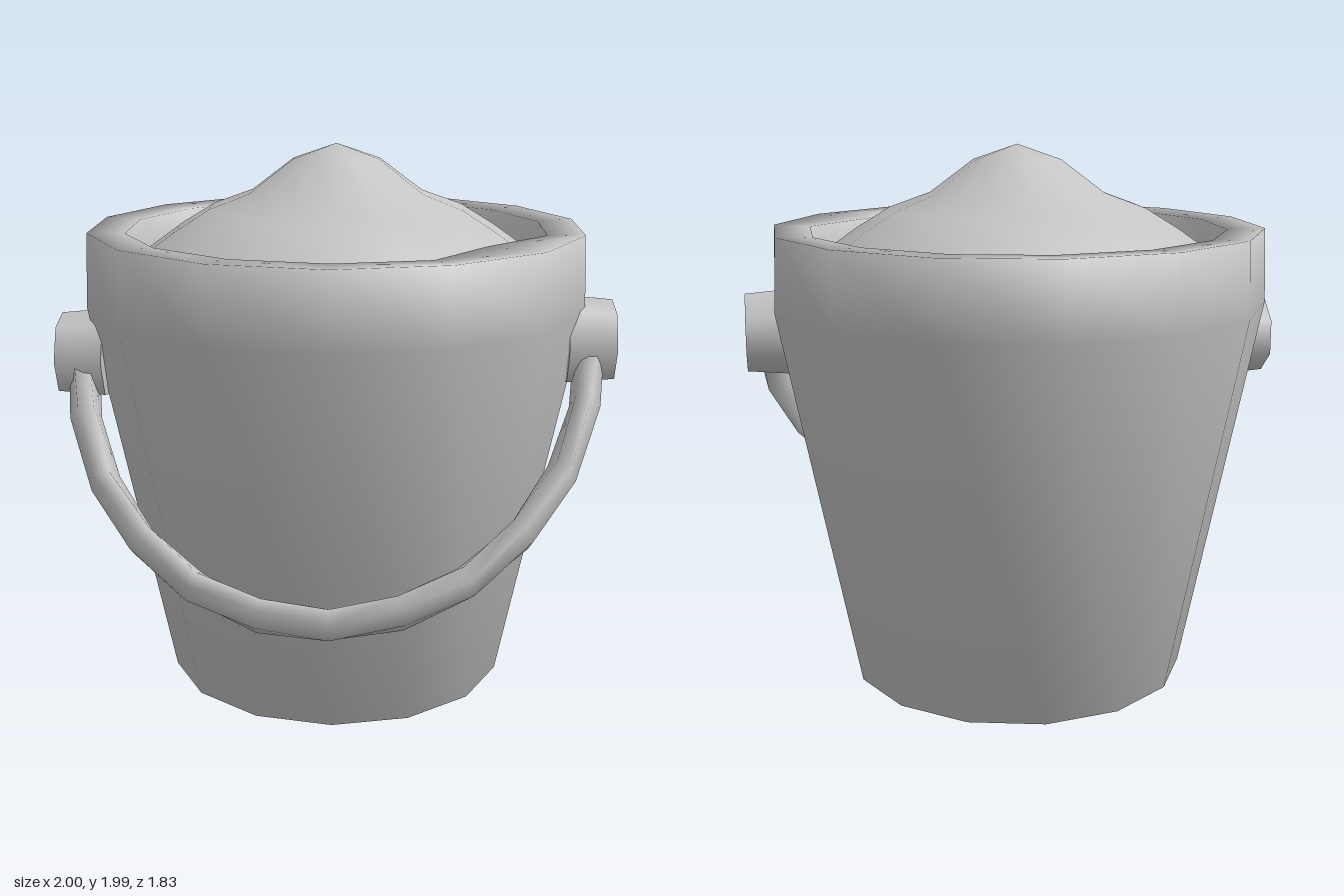
import * as THREE from 'three';
import { mergeVertices } from 'three/addons/utils/BufferGeometryUtils.js';

const SIDES = 14;

// Revolve a profile of [radius, height] pairs, weld it and smooth it.
function turned(profile, adjust) {
  const points = profile.map(([r, y]) => new THREE.Vector2(r, y));
  let geometry = new THREE.LatheGeometry(points, SIDES);
  geometry.deleteAttribute('uv');
  geometry.deleteAttribute('normal');
  if (adjust) {
    const p = geometry.attributes.position;
    const v = new THREE.Vector3();
    for (let i = 0; i < p.count; i++) {
      v.fromBufferAttribute(p, i);
      adjust(v);
      p.setXYZ(i, v.x, v.y, v.z);
    }
  }
  geometry = mergeVertices(geometry, 1e-4);
  geometry.computeVertexNormals();
  return geometry;
}

// Half-oval bail sweeping forward and down between the two pivots.
function handleGeometry() {
  const stations = 12, ring = 6;
  const down = new THREE.Vector3(0, -0.77, 0.64);
  const normal = new THREE.Vector3(0, 0.64, 0.77);
  const positions = [], index = [];
  for (let i = 0; i <= stations; i++) {
    const a = (i / stations) * Math.PI;
    const radial = new THREE.Vector3(Math.cos(a), 0, 0).addScaledVector(down, Math.sin(a));
    const centre = new THREE.Vector3(0.92 * Math.cos(a), 1.29 + 0.03 * Math.cos(a), 0.15)
      .addScaledVector(down, 1.05 * Math.sin(a));
    for (let j = 0; j < ring; j++) {
      const b = (j / ring) * Math.PI * 2 + (i % 2) * 0.3;
      const v = centre.clone()
        .addScaledVector(radial, 0.055 * Math.cos(b))
        .addScaledVector(normal, 0.105 * Math.sin(b));
      positions.push(v.x, v.y, v.z);
      if (i < stations) {
        const k = (j + 1) % ring;
        const p = i * ring + j, q = i * ring + k;
        index.push(p, q, p + ring, q, q + ring, p + ring);
      }
    }
  }
  const geometry = new THREE.BufferGeometry();
  geometry.setAttribute('position', new THREE.Float32BufferAttribute(positions, 3));
  geometry.setIndex(index);
  geometry.computeVertexNormals();
  return geometry;
}

export function createModel() {
  const model = new THREE.Group();
  model.name = 'filledBucket';
  const grey = new THREE.MeshStandardMaterial({ color: 0xc4c4c4 });
  grey.name = 'plain grey';

  const add = (name, geometry) => {
    const mesh = new THREE.Mesh(geometry, grey);
    mesh.name = name;
    model.add(mesh);
    return mesh;
  };

  // Tapered pail with a thick rim; the inner lip bulges inward at one spot
  add('bucket', turned(
    [[0, 0.01], [0.63, 0.01], [0.915, 1.43], [0.905, 1.7], [0.77, 1.695], [0.78, 1.45]],
    (v) => {
      const angle = Math.atan2(v.x, v.z);
      if (v.y > 1.44 && Math.hypot(v.x, v.z) < 0.8 && angle > 0.6 && angle < 1.2) {
        v.x *= 0.87;
        v.z *= 0.87;
      }
    }));

  // Heaped filling
  add('filling', turned(
    [[0.78, 1.56], [0.6, 1.69], [0.47, 1.77], [0.32, 1.825], [0.16, 1.945], [0, 2]]));

  // Carrying handle
  add('handle', handleGeometry());

  // Pivot knobs, the left one slightly higher
  for (const side of [1, -1]) {
    const knob = new THREE.CylinderGeometry(0.15, 0.165, 0.17, 7);
    knob.rotateZ(-side * Math.PI / 2);
    const mesh = add(side > 0 ? 'leftKnob' : 'rightKnob', knob);
    mesh.position.set(side * 0.915, 1.28 + side * 0.03, 0.155);
  }

  return model;
}
